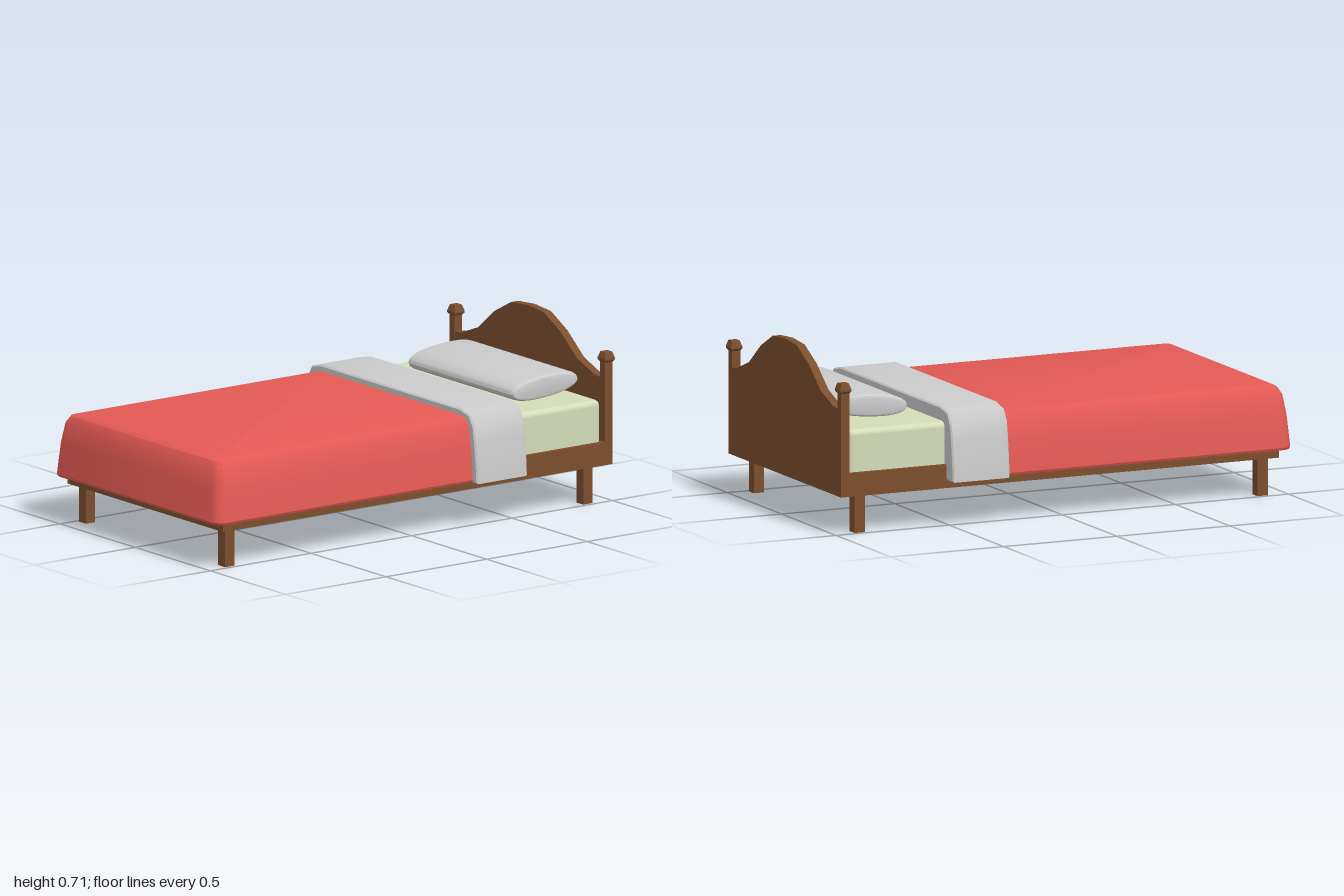
import * as THREE from 'three';
import { toCreasedNormals } from 'three/addons/utils/BufferGeometryUtils.js';
import { RoundedBoxGeometry } from 'three/addons/geometries/RoundedBoxGeometry.js';

const wood = new THREE.MeshStandardMaterial({ color: 0x7c4f2e });
const cream = new THREE.MeshStandardMaterial({ color: 0xd4dcb8 });
const red = new THREE.MeshStandardMaterial({ color: 0xe55a54 });
const grey = new THREE.MeshStandardMaterial({ color: 0xcccccc });

// Closed shape from the right half of a symmetric outline
function mirroredShape(half) {
  const left = half.filter(([x]) => x > 0).map(([x, y]) => [-x, y]).reverse();
  return new THREE.Shape([...half, ...left].map(([x, y]) => new THREE.Vector2(x, y)));
}

// Blanket: stacked U-shaped outlines, each [y, half width, foot z, corner radius]
function blanketGeometry(rows, zBack) {
  const positions = [];
  const index = [];
  const corner = [0, 1, 2, 3].map((i) => (i / 3) * Math.PI / 2);
  for (const [y, hx, zf, r] of rows) {
    positions.push(-hx, y, zBack);
    for (const a of corner) positions.push(-hx + r * (1 - Math.cos(a)), y, zf - r * (1 - Math.sin(a)));
    for (const a of [...corner].reverse()) positions.push(hx - r * (1 - Math.cos(a)), y, zf - r * (1 - Math.sin(a)));
    positions.push(hx, y, zBack);
  }
  const n = 10;
  const top = (rows.length - 1) * n;
  for (let j = 0; j < rows.length - 1; j++) {
    for (let i = 0; i < n; i++) {
      const a = j * n + i, b = j * n + (i + 1) % n;
      index.push(a, b, b + n, a, b + n, a + n);
    }
  }
  for (let i = 1; i < n - 1; i++) {
    index.push(top, top + i, top + i + 1);
    index.push(0, i + 1, i);
  }
  const g = new THREE.BufferGeometry();
  g.setAttribute('position', new THREE.Float32BufferAttribute(positions, 3));
  g.setIndex(index);
  return toCreasedNormals(g, 0.55);
}

export function createModel() {
  const bed = new THREE.Group();
  bed.name = 'bed';

  const add = (name, geometry, material, x = 0, y = 0, z = 0) => {
    const mesh = new THREE.Mesh(geometry, material);
    mesh.name = name;
    mesh.position.set(x, y, z);
    bed.add(mesh);
    return mesh;
  };
  const box = (name, w, h, d, x, y, z) => add(name, new THREE.BoxGeometry(w, h, d), wood, x, y, z);

  // Frame, legs and head posts
  for (const [side, s] of [['left', 1], ['right', -1]]) {
    box(side + 'Rail', 0.03, 0.095, 1.9, s * 0.502, 0.2025, 0);
    box(side + 'FrontLeg', 0.046, 0.16, 0.046, s * 0.463, 0.08, 0.893);
    box(side + 'BackLeg', 0.046, 0.16, 0.046, s * 0.463, 0.08, -0.888);
    box(side + 'Post', 0.034, 0.425, 0.036, s * 0.5, 0.3675, -0.968);

    // Square finial: flared collar, then a tapered cap
    const r = Math.SQRT2;
    const profile = [[0, 0.575], [0.018, 0.575], [0.025, 0.584], [0.025, 0.591], [0.017, 0.616], [0, 0.616]];
    const finial = new THREE.LatheGeometry(profile.map(([x, y]) => new THREE.Vector2(x * r, y)), 4)
      .rotateY(Math.PI / 4);
    add(side + 'Finial', toCreasedNormals(finial, 0.2), wood, s * 0.5, 0, -0.969);
  }
  box('footRail', 1.034, 0.095, 0.03, 0, 0.2025, 0.935);

  // Arched headboard
  const arch = mirroredShape([
    [0.515, 0.155], [0.515, 0.51], [0.485, 0.51], [0.44, 0.515], [0.33, 0.557],
    [0.22, 0.645], [0.11, 0.703], [0, 0.712],
  ]);
  add('headboard', new THREE.ExtrudeGeometry(arch, { depth: 0.035, bevelEnabled: false }), wood, 0, 0, -0.986);

  // Mattress
  add('mattress', new RoundedBoxGeometry(1.0, 0.245, 1.875, 2, 0.025), cream, 0, 0.2985, -0.008);

  // Blanket
  add('blanket', blanketGeometry([
    [0.19, 0.546, 0.994, 0.04], [0.2, 0.551, 1.0, 0.045], [0.33, 0.539, 0.989, 0.045],
    [0.41, 0.525, 0.977, 0.045], [0.438, 0.508, 0.96, 0.04], [0.45, 0.465, 0.935, 0.025],
  ], -0.3), red);

  // Turned-back sheet
  const fold = mirroredShape([
    [0.572, 0.192], [0.569, 0.25], [0.558, 0.35], [0.549, 0.41], [0.522, 0.455], [0.46, 0.47], [0, 0.47],
    ].concat([]));
  const foldGeometry = new THREE.ExtrudeGeometry(fold, {
    depth: 0.24, bevelThickness: 0.006, bevelSize: 0.006, bevelSegments: 1,
  });
  add('foldedSheet', toCreasedNormals(foldGeometry, 0.6), grey, 0, 0, -0.514);

  // Pillow: flattened oval extruded across the bed, tilted up at the head
  const oval = new THREE.Shape();
  for (let i = 0; i < 24; i++) {
    const a = (i / 24) * Math.PI * 2, c = Math.cos(a), s = Math.sin(a);
    const x = 0.165 * Math.sign(c) * Math.abs(c) ** 0.85;
    const y = 0.046 * Math.sign(s) * Math.abs(s) ** 0.85;
    if (i) oval.lineTo(x, y); else oval.moveTo(x, y);
  }
  const pillowGeometry = new THREE.ExtrudeGeometry(oval, {
    depth: 0.665, bevelThickness: 0.02, bevelSize: 0.012, bevelOffset: -0.012, bevelSegments: 3,
  }).translate(0, 0, -0.3325).rotateY(Math.PI / 2);
  const pillow = add('pillow', toCreasedNormals(pillowGeometry, 0.6), grey, 0.022, 0.476, -0.763);
  pillow.rotation.x = 0.08;

  return bed;
}
